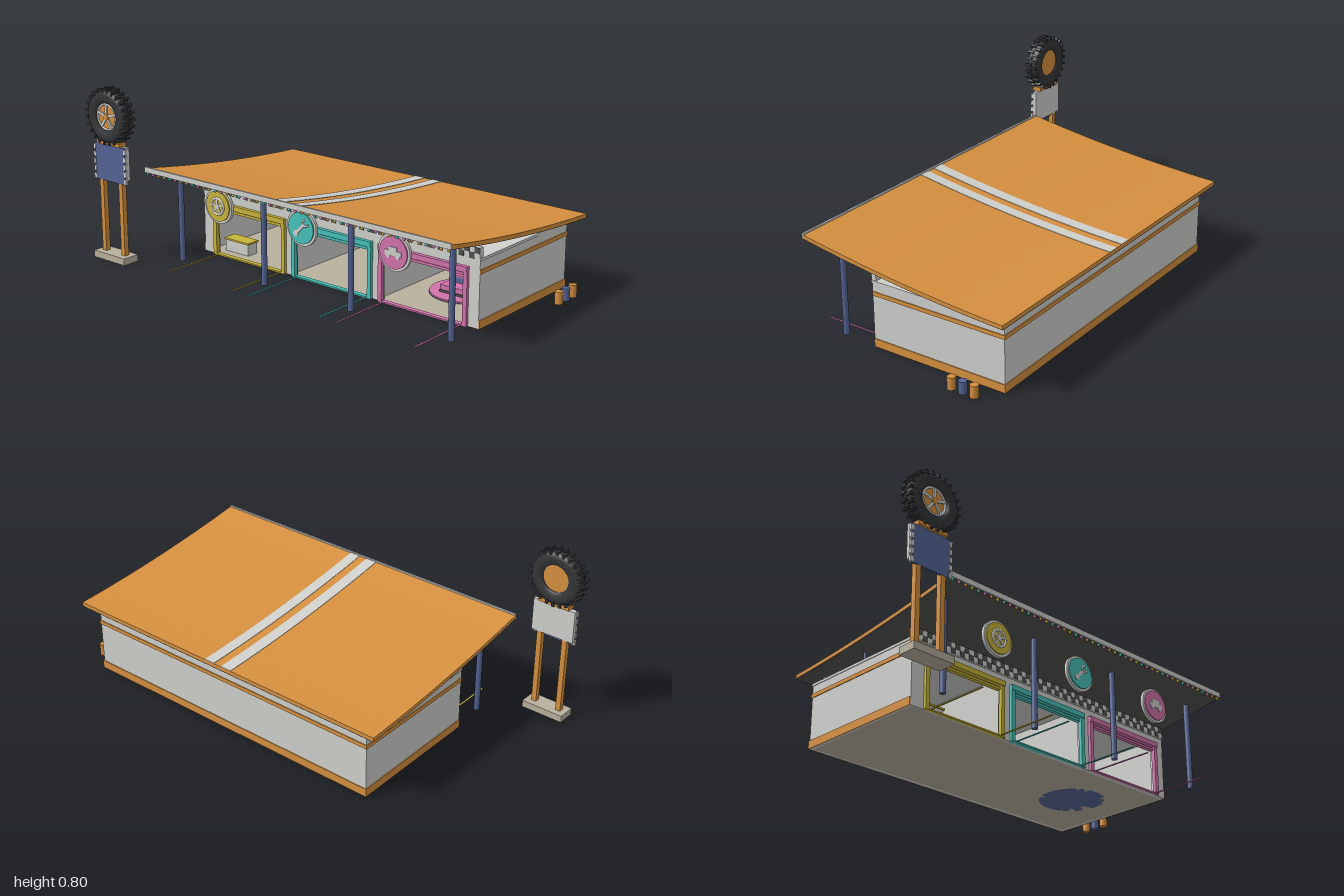
import * as THREE from 'three';

const mat = (name, color) => {
  const m = new THREE.MeshStandardMaterial({ color });
  m.name = name;
  return m;
};

export function createModel() {
  const orange = mat('orange', 0xd6903f), grey = mat('light grey', 0xd0d0cd), blue = mat('blue', 0x566596);
  const teal = mat('teal', 0x48c2ba), yellow = mat('yellow', 0xc9b53a), pink = mat('pink', 0xd274ac);
  const black = mat('rubber black', 0x343538), dark = mat('dark grey', 0x52524f), beige = mat('beige', 0xbab19e);

  const model = new THREE.Group();
  model.name = 'garage';
  const group = (name, x = 0, y = 0, z = 0, parent = model) => {
    const g = new THREE.Group();
    g.name = name;
    g.position.set(x, y, z);
    parent.add(g);
    return g;
  };
  const add = (name, geo, m, x = 0, y = 0, z = 0, parent = model) => {
    const mesh = new THREE.Mesh(geo, m);
    mesh.name = name;
    mesh.position.set(x, y, z);
    parent.add(mesh);
    return mesh;
  };
  // Box given by its limits on each axis
  const box = (name, m, x0, x1, y0, y1, z0, z1, parent) =>
    add(name, new THREE.BoxGeometry(x1 - x0, y1 - y0, z1 - z0), m,
      (x0 + x1) / 2, (y0 + y1) / 2, (z0 + z1) / 2, parent);
  const cyl = (name, m, r, h, x, y, z, parent, n = 20) =>
    add(name, new THREE.CylinderGeometry(r, r, h, n), m, x, y, z, parent);
  // Disc whose flat face looks along z
  const disc = (name, m, r, d, x, y, z, parent, n = 36) =>
    add(name, new THREE.CylinderGeometry(r, r, d, n).rotateX(Math.PI / 2), m, x, y, z, parent);

  // Curved roof: strips extruded along x below one sweeping curve
  const roofY = z => 0.382 + 0.12 * z + 0.064 * z * z;
  const roofStrip = (name, m, x0, x1, top, bottom, z0 = -0.54, z1 = 0.445) => {
    const pts = [], n = 16;
    for (let i = 0; i <= n; i++) {
      const z = z1 + (z0 - z1) * i / n;
      pts.push(new THREE.Vector2(-z, roofY(z) + bottom));
    }
    for (let i = n; i >= 0; i--) {
      const z = z1 + (z0 - z1) * i / n;
      pts.push(new THREE.Vector2(-z, roofY(z) + top));
    }
    const g = new THREE.ExtrudeGeometry(new THREE.Shape(pts), { depth: x1 - x0, bevelEnabled: false });
    return add(name, g.rotateY(Math.PI / 2), m, x0, 0, 0);
  };
  roofStrip('roof', orange, -0.71, 0.96, 0, -0.017);
  roofStrip('roofUnderside', dark, -0.708, 0.958, -0.017, -0.02);
  roofStrip('roofStripe', grey, 0.05, 0.105, 0.002, -0.001);
  roofStrip('roofStripe', grey, 0.145, 0.197, 0.002, -0.001);
  box('roofLip', grey, -0.71, 0.96, 0.43, 0.454, 0.443, 0.452);

  // String of coloured bulbs under the lip
  const bulbs = group('bulbs');
  const bulbGeo = new THREE.SphereGeometry(0.007, 8, 6);
  [...Array(48).keys()].forEach(i =>
    add('bulb', bulbGeo, [teal, pink, orange, yellow][i % 4], -0.7 + i * 0.035, 0.423, 0.444, bulbs));

  // Posts under the roof
  const postX = [-0.625, -0.12, 0.365, 0.875];
  for (const x of postX) {
    cyl('frontPost', blue, 0.013, 0.41, x, 0.205, 0.315);
    for (const z of [-0.175, -0.445]) {
      const h = roofY(z) - 0.31;
      cyl('roofSupport', blue, 0.008, h, Math.min(x, 0.84), 0.295 + h / 2, z);
    }
  }

  // Building shell
  const L = -0.645, R = 0.89;
  const bays = [
    { name: 'shop', m: yellow, x0: -0.578, x1: -0.14 },
    { name: 'workshop', m: teal, x0: -0.1, x1: 0.347 },
    { name: 'carBay', m: pink, x0: 0.385, x1: 0.838 },
  ];
  box('floor', beige, L + 0.01, R - 0.01, 0, 0.004, -0.49, 0.14);
  box('backWall', grey, L, R, 0, 0.29, -0.5, -0.48);
  box('leftWall', grey, R - 0.02, R, 0, 0.29, -0.48, 0.13);
  box('rightWall', grey, L, L + 0.02, 0, 0.29, -0.48, 0.13);
  for (const x of [-0.12, 0.366]) box('partition', grey, x - 0.01, x + 0.01, 0.002, 0.29, -0.48, 0.13);
  box('ceiling', grey, L - 0.003, R + 0.003, 0.289, 0.301, -0.503, 0.152);
  for (const [name, y0, y1] of [['baseBand', 0, 0.037], ['upperBand', 0.234, 0.252]]) {
    box(name, orange, L - 0.004, R + 0.004, y0, y1, -0.504, -0.5);
    box(name, orange, L - 0.004, L, y0, y1, -0.5, 0.148);
    box(name, orange, R, R + 0.004, y0, y1, -0.5, 0.148);
  }

  // Front wall with three door openings
  const wall = new THREE.Shape([[L, 0], [R, 0], [R, 0.29], [L, 0.29]].map(p => new THREE.Vector2(...p)));
  for (const b of bays) {
    wall.holes.push(new THREE.Path([[b.x0 + 0.01, 0.001], [b.x0 + 0.01, 0.24], [b.x1 - 0.01, 0.24], [b.x1 - 0.01, 0.001]]
      .map(p => new THREE.Vector2(...p))));
  }
  add('frontWall', new THREE.ExtrudeGeometry(wall, { depth: 0.02, bevelEnabled: false }), grey, 0, 0, 0.129);

  // Chequered parapet
  box('parapet', grey, L, R, 0.295, 0.345, 0.13, 0.153);
  const n = 60, step = (R - L) / n;
  for (let i = 0; i < n; i++) {
    const y = 0.295 + (i % 2) * 0.025, x = L + i * step;
    box('chequer', dark, x, x + step, y, y + 0.025, 0.152, 0.155);
  }

  // Door frames, floor lines and round signs
  for (const b of bays) {
    const f = group(b.name + 'Frame');
    box('jamb', b.m, b.x0, b.x0 + 0.02, 0, 0.255, 0.145, 0.163, f);
    box('jamb', b.m, b.x1 - 0.02, b.x1, 0, 0.255, 0.145, 0.163, f);
    box('header', b.m, b.x0, b.x1, 0.232, 0.256, 0.145, 0.167, f);
    box('innerHeader', b.m, b.x0 + 0.02, b.x1 - 0.02, 0.215, 0.226, 0.135, 0.155, f);
    box('sill', b.m, b.x0, b.x1, 0, 0.007, 0.14, 0.163, f);
    for (const x of [b.x0 + 0.024, b.x1 - 0.03]) box('floorLine', b.m, x - 0.004, x + 0.004, 0, 0.003, 0.16, 0.465, f);

    const s = group(b.name + 'Sign', (b.x0 + b.x1) / 2, 0.317, 0.34);
    disc('signBack', grey, 0.08, 0.014, 0, 0, 0, s);
    disc('signFace', b.m, 0.069, 0.008, 0, 0, 0.009, s);
    if (b.m === yellow) {
      add('wheelRing', new THREE.TorusGeometry(0.036, 0.006, 8, 28), grey, 0, 0, 0.012, s);
      disc('wheelHub', grey, 0.013, 0.006, 0, 0, 0.014, s);
      for (let i = 0; i < 5; i++)
        add('wheelSpoke', new THREE.BoxGeometry(0.009, 0.036, 0.004).translate(0, 0.02, 0), grey, 0, 0, 0.014, s)
          .rotation.z = i * Math.PI * 0.4;
    } else if (b.m === teal) {
      const w = group('wrench', 0, 0, 0.014, s);
      box('handle', grey, -0.007, 0.007, -0.035, 0.025, -0.002, 0.002, w);
      disc('wrenchEnd', grey, 0.013, 0.004, 0, -0.036, 0, w);
      add('wrenchJaw', new THREE.TorusGeometry(0.014, 0.005, 6, 16, Math.PI * 1.5), grey, 0, 0.038, 0, w)
        .rotation.z = Math.PI * 0.75;
      w.rotation.z = -Math.PI / 4;
    } else {
      box('carBody', grey, -0.042, 0.042, -0.012, 0.008, 0.012, 0.016, s);
      box('carCabin', grey, -0.022, 0.02, 0.008, 0.024, 0.012, 0.016, s);
      for (const x of [-0.024, 0.024]) disc('carWheel', grey, 0.011, 0.005, x, -0.013, 0.014, s, 16);
    }
  }

  // Shop: counter and shelves of goods
  box('counter', grey, -0.565, -0.425, 0.004, 0.058, 0.035, 0.095);
  box('counterTop', yellow, -0.57, -0.42, 0.058, 0.066, 0.03, 0.1);
  const goods = [yellow, orange, black, blue, orange, black];
  [-0.5, -0.355, -0.215].forEach((x, c) => {
    for (const side of [-1, 1]) box('shelfUpright', dark, x + side * 0.063 - 0.003, x + side * 0.063 + 0.003, 0.004, 0.19, -0.475, -0.42);
    [0.02, 0.085, 0.15].forEach((y, r) => {
      box('shelf', grey, x - 0.062, x + 0.062, y - 0.006, y, -0.478, -0.42);
      for (let i = 0; i < 4; i++) {
        const gx = x - 0.045 + i * 0.03;
        box('goods', goods[(i + r * 2 + c) % 6], gx - 0.01, gx + 0.01, y, y + 0.026, -0.465, -0.435);
      }
    });
  });
  box('stool', blue, -0.385, -0.33, 0.004, 0.05, -0.3, -0.25);

  // Workshop: tool board, bench and chest
  box('toolBoard', blue, -0.025, 0.27, 0.08, 0.2, -0.48, -0.472);
  for (let i = 0; i < 8; i++) {
    const x = 0.005 + i * 0.034, y = 0.15 + (i % 3) * 0.01;
    box('hangingTool', grey, x - 0.004, x + 0.004, y - 0.03, y + 0.025, -0.472, -0.466);
  }
  box('benchTop', grey, -0.03, 0.28, 0.068, 0.078, -0.475, -0.39);
  for (const x of [-0.025, 0.265]) box('benchLeg', blue, x - 0.006, x + 0.014, 0.004, 0.2, -0.47, -0.455);
  box('toolChest', pink, 0.28, 0.328, 0.004, 0.06, -0.4, -0.33);

  // Car bay: turntable, small car, back door and shelf
  cyl('turntableBase', blue, 0.15, 0.006, 0.6, 0.003, -0.16, model, 40);
  cyl('turntable', pink, 0.147, 0.006, 0.6, 0.009, -0.16, model, 40);
  const car = group('car', 0.605, 0.012, -0.16);
  box('carBody', pink, -0.058, 0.058, 0.012, 0.042, -0.1, 0.1, car);
  box('carCabin', blue, -0.042, 0.042, 0.042, 0.068, -0.06, 0.04, car);
  box('carRoof', pink, -0.044, 0.044, 0.068, 0.076, -0.062, 0.042, car);
  box('carBumper', dark, -0.06, 0.06, 0.01, 0.02, 0.098, 0.105, car);
  for (const x of [-0.055, 0.055]) for (const z of [-0.06, 0.06])
    add('carWheel', new THREE.CylinderGeometry(0.018, 0.018, 0.014, 16).rotateZ(Math.PI / 2), black, x, 0.018, z, car);
  for (const [x0, x1, y0, y1] of [[0.435, 0.447, 0, 0.14], [0.773, 0.785, 0, 0.14], [0.435, 0.785, 0.13, 0.142]])
    box('backDoorFrame', beige, x0, x1, y0, y1, -0.48, -0.47);
  box('wallShelf', dark, 0.42, 0.51, 0.068, 0.074, -0.48, -0.43);
  for (let i = 0; i < 4; i++) cyl('oilCan', goods[i], 0.007, 0.014, 0.432 + i * 0.022, 0.081, -0.455, model, 10);

  // Barrels beside the left wall
  [[-0.31, orange], [-0.365, blue], [-0.42, orange]].forEach(([z, m]) => cyl('barrel', m, 0.018, 0.055, 0.98, 0.0275, z));

  // Roadside sign with a giant tyre
  const sign = group('tyreSign', -0.87, 0, 0.5);
  box('signBase', beige, -0.1, 0.1, 0, 0.032, -0.042, 0.042, sign);
  for (const x of [-0.062, 0.062]) box('signPole', orange, x - 0.012, x + 0.012, 0.03, 0.56, -0.012, 0.012, sign);
  box('crossBeam', orange, -0.074, 0.074, 0.54, 0.558, -0.022, 0.022, sign);
  box('panelBack', grey, -0.102, 0.102, 0.388, 0.54, -0.013, 0.004, sign);
  box('panelFace', blue, -0.094, 0.094, 0.37, 0.538, 0.004, 0.013, sign);
  for (let i = 0; i < 5; i++)
    for (const x of [-0.098, 0.098]) box('panelEdge', grey, x - 0.007, x + 0.007, 0.372 + i * 0.034, 0.395 + i * 0.034, 0.003, 0.015, sign);

  const tyre = group('tyre', 0, 0.67, 0, sign);
  const profile = [[0.062, -0.022], [0.075, -0.031], [0.1, -0.032], [0.116, -0.027], [0.121, -0.015],
    [0.121, 0.015], [0.116, 0.027], [0.1, 0.032], [0.075, 0.031], [0.062, 0.022], [0.062, -0.022]]
    .map(p => new THREE.Vector2(...p));
  add('tyreBody', new THREE.LatheGeometry(profile, 48).rotateX(Math.PI / 2), black, 0, 0, 0, tyre);
  for (let i = 0; i < 48; i++) {
    const g = new THREE.BoxGeometry(0.011, 0.02, 0.03).translate(0, 0.12, (i % 2 ? 1 : -1) * 0.016);
    add('treadLug', g, black, 0, 0, 0, tyre).rotation.z = i * Math.PI / 24;
  }
  disc('rim', orange, 0.063, 0.038, 0, 0, 0, tyre);
  add('rimRing', new THREE.TorusGeometry(0.058, 0.005, 8, 36), grey, 0, 0, 0.02, tyre);
  for (let i = 0; i < 5; i++)
    add('rimSpoke', new THREE.BoxGeometry(0.013, 0.056, 0.008).translate(0, 0.028, 0), grey, 0, 0, 0.021, tyre)
      .rotation.z = i * Math.PI * 0.4;
  disc('hubCap', orange, 0.014, 0.012, 0, 0, 0.022, tyre, 20);

  return model;
}
